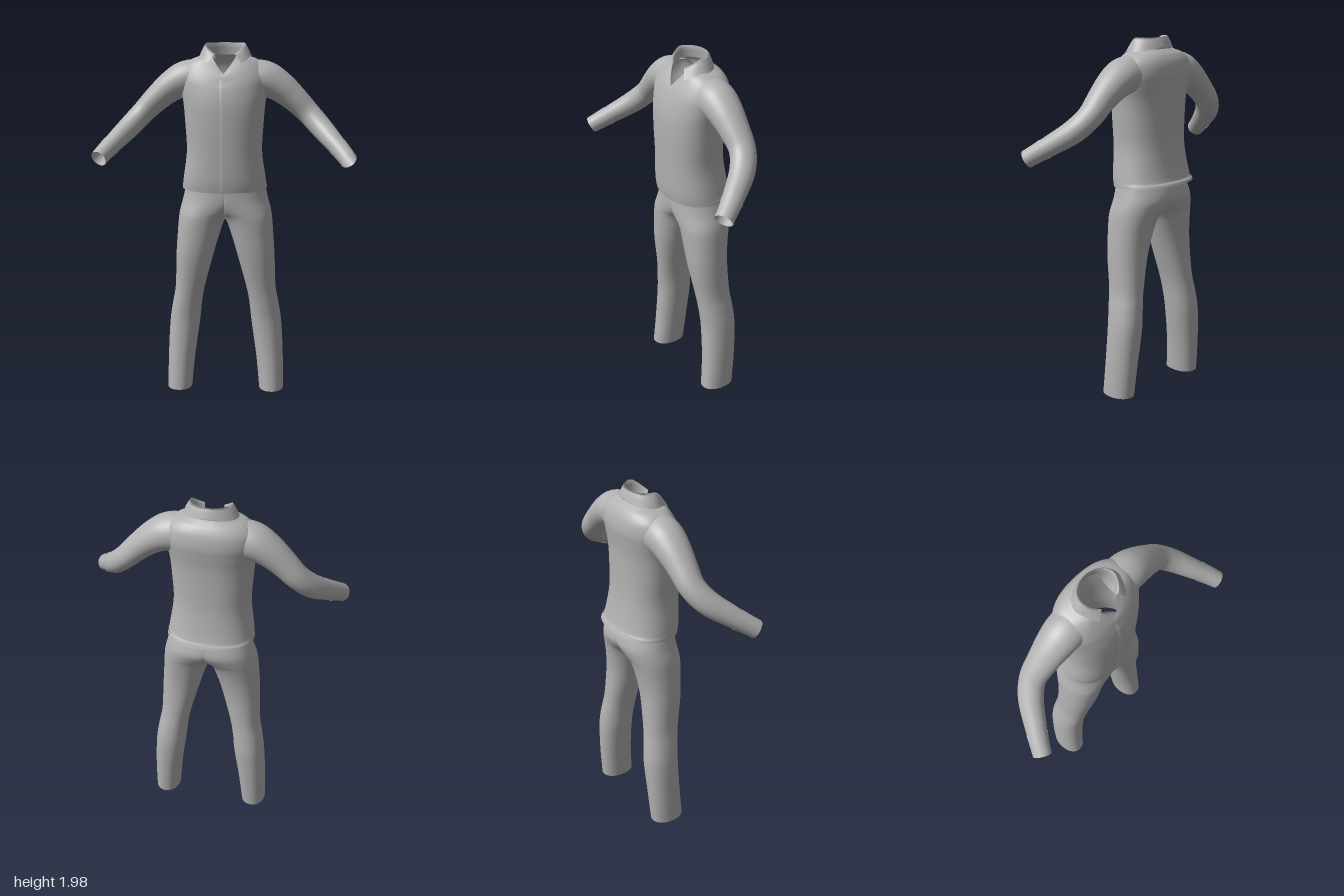
import * as THREE from 'three';

const CENTRE = -0.005;

// Catmull-Rom smoothing of a short table of cross-section values
function resample(rows, steps) {
  const out = [];
  const at = (i) => rows[Math.max(0, Math.min(rows.length - 1, i))];
  for (let i = 0; i < rows.length - 1; i++) {
    for (let k = 0; k < steps; k++) {
      const t = k / steps;
      out.push(rows[i].map((b, c) => {
        const a = at(i - 1)[c], d = at(i + 1)[c], e = at(i + 2)[c];
        return b + 0.5 * t * (d - a + t * (2 * a - 5 * b + 4 * d - e + t * (3 * (b - d) + e - a)));
      }));
    }
  }
  out.push(rows[rows.length - 1]);
  return out;
}

// Skin a list of rings; faces for which skip() is true at all corners are left out
function loft(rings, closed, flip = false, skip = () => false) {
  const n = rings[0].length, index = [];
  for (let i = 0; i < rings.length - 1; i++) {
    for (let j = 0; j < (closed ? n : n - 1); j++) {
      const k = (j + 1) % n;
      if ([rings[i][j], rings[i][k], rings[i + 1][j], rings[i + 1][k]].every(skip)) continue;
      const a = i * n + j, b = i * n + k, c = b + n, d = a + n;
      index.push(...(flip ? [a, c, b, a, d, c] : [a, b, c, a, c, d]));
    }
  }
  const g = new THREE.BufferGeometry();
  g.setAttribute('position', new THREE.Float32BufferAttribute(rings.flat(2), 3));
  g.setIndex(index);
  g.computeVertexNormals();
  return g;
}

const range = (n, from, to, closed) =>
  Array.from({ length: n }, (_, i) => from + (to - from) * i / (closed ? n : n - 1));
const TURN = range(64, 0, Math.PI * 2, true);
const power = (v, p) => Math.sign(v) * Math.abs(v) ** p;

// Torso: y, half width, front z, back z, front dip in y, front push in z
const TORSO = resample([
  [1.18, 0.238, 0.11, -0.25, 0, 0],
  [1.25, 0.23, 0.12, -0.224, 0, 0],
  [1.4, 0.21, 0.126, -0.2, 0, 0],
  [1.55, 0.217, 0.13, -0.195, 0, 0],
  [1.66, 0.226, 0.128, -0.197, 0, 0],
  [1.74, 0.24, 0.115, -0.206, 0, 0],
  [1.8, 0.246, 0.1, -0.212, 0.015, 0],
  [1.86, 0.232, 0.072, -0.203, 0.05, 0.02],
  [1.9, 0.19, 0.05, -0.182, 0.078, 0.035],
  [1.92, 0.14, 0.035, -0.158, 0.093, 0.046],
  [1.93, 0.115, 0.028, -0.142, 0.1, 0.05],
], 5);

function torsoPoint([y, w, zf, zb, dip, push], a) {
  const p = 2 / 2.3, mid = (zf + zb) / 2, half = (zf - zb) / 2;
  const off = Math.abs(a > Math.PI ? a - 2 * Math.PI : a);
  const v = Math.max(0, 1 - off / 0.6);
  const hem = y < 1.2 ? 0.012 * (1 - Math.cos(a)) : 0;
  return [-0.01 + w * power(Math.sin(a), p), y - dip * v + hem, mid + half * power(Math.cos(a), p) + push * v];
}

// Sleeve: distance from centre, y, z, radius across, radius in depth
const SLEEVE = resample([
  [0.13, 1.8, -0.06, 0.105, 0.105],
  [0.22, 1.795, -0.06, 0.1, 0.105],
  [0.3, 1.755, -0.06, 0.086, 0.095],
  [0.38, 1.69, -0.06, 0.073, 0.081],
  [0.46, 1.61, -0.055, 0.064, 0.071],
  [0.53, 1.535, -0.005, 0.061, 0.067],
  [0.6, 1.462, 0.09, 0.053, 0.058],
  [0.64, 1.42, 0.15, 0.047, 0.05],
  [0.672, 1.383, 0.203, 0.044, 0.047],
], 5);

function sleeveRings(rows, side, grow) {
  const pts = rows.map((r) => new THREE.Vector3(CENTRE + side * r[0], r[1], r[2]));
  return rows.map((r, i) => {
    const t = pts[Math.min(i + 1, pts.length - 1)].clone().sub(pts[Math.max(i - 1, 0)]).normalize();
    const u = t.clone().cross(new THREE.Vector3(0, 0, 1)).normalize();
    const v = t.clone().cross(u);
    return TURN.map((a) => pts[i].clone()
      .addScaledVector(u, (r[3] + grow) * Math.cos(a))
      .addScaledVector(v, (r[4] + grow) * Math.sin(a)).toArray());
  });
}

// Trouser leg: y, inner x, outer x, front z, back z
const LEG = resample([
  [0.01, 0.197, 0.336, 0.04, -0.155],
  [0.2, 0.178, 0.333, 0.025, -0.17],
  [0.4, 0.15, 0.322, 0.02, -0.18],
  [0.52, 0.137, 0.304, 0.03, -0.172],
  [0.62, 0.118, 0.287, 0.042, -0.161],
  [0.8, 0.07, 0.28, 0.07, -0.155],
  [0.92, 0.035, 0.272, 0.08, -0.165],
  [1.02, -0.005, 0.264, 0.087, -0.185],
  [1.07, -0.08, 0.256, 0.09, -0.205],
  [1.13, -0.17, 0.24, 0.092, -0.222],
  [1.22, -0.22, 0.22, 0.09, -0.2],
], 5);

// Above the crotch each leg is cut at the middle, so the two halves form the seat
function legRings(side) {
  return LEG.map(([y, inner, outer, zf, zb]) => TURN.map((a) => {
    const x = (inner + outer) / 2 + (outer - inner) / 2 * power(Math.sin(a), 0.92);
    const z = (zf + zb) / 2 + (zf - zb) / 2 * power(Math.cos(a), 0.92);
    return [CENTRE + side * Math.max(0, x), y, z];
  }));
}

// Collar: inner stand, fold line and turned-down leaf with front points
function collarRings() {
  const around = range(49, 0.5, Math.PI * 2 - 0.5);
  const front = (a) => Math.max(0, Math.cos(a));
  const tip = (a) => Math.max(0, 1 - (Math.min(a, Math.PI * 2 - a) - 0.5) / 0.7);
  const base = (a) => [0.104 * Math.sin(a), 1.925 - 0.02 * front(a), -0.055 + 0.083 * Math.cos(a)];
  const fold = (a) => [0.106 * Math.sin(a), 1.993 - 0.07 * front(a) ** 1.4, -0.043 + 0.085 * Math.cos(a)];
  const edge = (a) => [
    0.145 * Math.sin(a) + Math.sign(Math.sin(a)) * 0.022 * tip(a),
    1.945 - 0.025 * Math.abs(Math.sin(a)) - 0.045 * tip(a),
    -0.05 + 0.1 * Math.cos(a) + 0.02 * tip(a),
  ];
  const mix = (f, g, t, lift) => (a) => f(a).map((v, c) => v + (g(a)[c] - v) * t + (c === 1 ? lift : 0));
  return [base, mix(base, fold, 0.6, 0), fold, mix(fold, edge, 0.25, 0.006), mix(fold, edge, 0.6, 0.006), edge]
    .map((f) => around.map((a) => { const p = f(a); return [p[0] - 0.005, p[1], p[2]]; }));
}

export function createModel() {
  const cloth = new THREE.MeshStandardMaterial({ color: 0xb2b2b2, side: THREE.DoubleSide });
  cloth.name = 'grey cloth';
  const model = new THREE.Group();
  model.name = 'outfit';
  const shirt = new THREE.Group();
  shirt.name = 'shirt';
  const trousers = new THREE.Group();
  trousers.name = 'trousers';
  model.add(shirt, trousers);
  const add = (group, name, geometry) => {
    const mesh = new THREE.Mesh(geometry, cloth);
    mesh.name = name;
    group.add(mesh);
  };

  add(shirt, 'shirtBody', loft(TORSO.map((r) => TURN.map((a) => torsoPoint(r, a))), true));
  add(shirt, 'collar', loft(collarRings(), false, true));

  // Front button band, a thin strip lying on the shirt body
  const band = TORSO.slice(0, 33).map((r) => range(5, -0.07, 0.07).map((a, i) => {
    const p = torsoPoint(r, a);
    return [p[0], p[1], p[2] + (i === 0 ? -0.002 : 0.003)];
  }));
  add(shirt, 'buttonBand', loft(band, false));

  for (const side of [-1, 1]) {
    const label = side > 0 ? 'left' : 'right';
    add(shirt, label + 'Sleeve', loft(sleeveRings(SLEEVE, side, 0), true, side < 0));
    add(shirt, label + 'Cuff', loft(sleeveRings(SLEEVE.slice(-9), side, 0.003), true, side < 0));
    add(trousers, label + 'Leg', loft(legRings(side), true, side < 0, (p) => p[0] === CENTRE));
  }
  return model;
}
